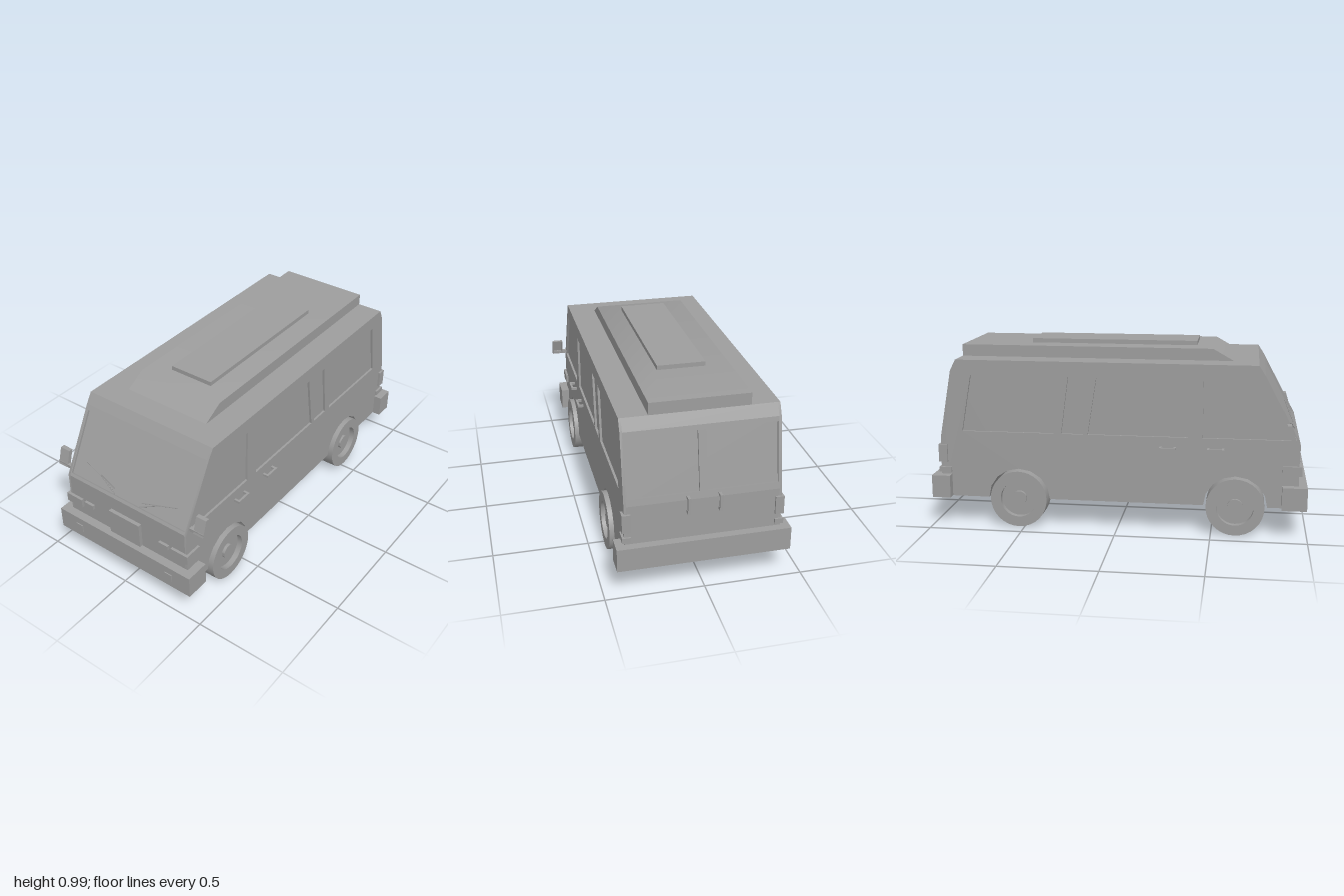
import * as THREE from 'three';
import { toCreasedNormals } from 'three/addons/utils/BufferGeometryUtils.js';

const mat = new THREE.MeshStandardMaterial({ color: 0x9d9d9d });
const HALF = 0.392, SKIN = 0.012, FLOOR = 0.153;
const AXLES = [-0.625, 0.53];

export function createModel() {
  const van = new THREE.Group();
  van.name = 'van';

  const add = (name, geo, parent = van) => {
    const m = new THREE.Mesh(geo, mat);
    m.name = name;
    parent.add(m);
    return m;
  };
  // Box given by its limits on each axis
  const box = (name, x0, x1, y0, y1, z0, z1, parent) => {
    const m = add(name, new THREE.BoxGeometry(x1 - x0, y1 - y0, z1 - z0), parent);
    m.position.set((x0 + x1) / 2, (y0 + y1) / 2, (z0 + z1) / 2);
    return m;
  };
  // The same box on both sides of the van
  const pair = (name, x0, x1, y0, y1, z0, z1) => {
    box(name + 'Left', x0, x1, y0, y1, z0, z1);
    box(name + 'Right', x0, x1, y0, y1, -z1, -z0);
  };
  const path = (pts, Type = THREE.Shape) => new Type(pts.map(p => new THREE.Vector2(...p)));
  // Extrusion with smooth normals over gentle bends
  const extrude = (shape, depth) =>
    toCreasedNormals(new THREE.ExtrudeGeometry(shape, { depth, bevelEnabled: false }), 0.6);

  // Floor line with a polygonal arch over each axle
  const floorLine = [];
  for (const cx of AXLES) {
    for (let i = 0; i <= 8; i++) {
      const a = Math.PI * (1 - i / 8);
      floorLine.push([cx + 0.167 * Math.cos(a), FLOOR + 0.163 * Math.sin(a)]);
    }
  }
  // Side outline, nose towards -x; the sloped ends can be set in to hold the glass
  const noseLow = [-0.95, 0.5], noseTop = [-0.765, 0.845];
  const tailLow = [0.955, 0.48], tailTop = [0.89, 0.84];
  const inset = (a, b, side) => {
    const dx = b[0] - a[0], dy = b[1] - a[1], l = Math.hypot(dx, dy);
    const off = p => [p[0] - side * SKIN * dy / l, p[1] + side * SKIN * dx / l];
    return [off(a), off(b)];
  };
  const outline = recessed => {
    const nose = recessed ? inset(noseLow, noseTop, -1) : [];
    const tail = recessed ? inset(tailLow, tailTop, 1) : [];
    return path([[-0.95, FLOOR], ...floorLine, [0.96, FLOOR], tailLow, ...tail, tailTop,
      [0.86, 0.9], [-0.73, 0.9], noseTop, ...nose.reverse(), noseLow]);
  };

  // Body core
  add('bodyCore', extrude(outline(true), 2 * (HALF - SKIN))).position.z = -(HALF - SKIN);

  // Side panels with window openings
  const sideWindows = [
    [[-0.905, 0.515], [-0.45, 0.515], [-0.45, 0.82], [-0.75, 0.82]],
    [[-0.375, 0.515], [0.155, 0.515], [0.107, 0.82], [-0.375, 0.82]],
    [[0.18, 0.515], [0.297, 0.515], [0.257, 0.82], [0.134, 0.82]],
    [[0.337, 0.515], [0.835, 0.515], [0.78, 0.82], [0.298, 0.82]],
  ];
  const side = outline(false);
  side.holes = sideWindows.map(w => path(w, THREE.Path));
  const sideGeo = extrude(side, SKIN);
  add('sidePanelLeft', sideGeo).position.z = HALF - SKIN;
  add('sidePanelRight', sideGeo).position.z = -HALF;

  // Sloped end panels with window openings; openings are [z0, z1] between y0 and y1
  const slopedPanel = (name, a, b, zDir, openings, y0, y1) => {
    const up = new THREE.Vector3(b[0] - a[0], b[1] - a[1], 0);
    const len = up.length();
    up.normalize();
    const across = new THREE.Vector3(0, 0, zDir);
    const out = new THREE.Vector3().crossVectors(across, up);
    const s = y => (y - a[1]) / (b[1] - a[1]) * len;
    const w = HALF - SKIN;
    const shape = path([[-w, 0], [w, 0], [w, len], [-w, len]]);
    shape.holes = openings.map(([l, r]) =>
      path([[l, s(y0)], [r, s(y0)], [r, s(y1)], [l, s(y1)]], THREE.Path));
    const m = add(name, extrude(shape, SKIN));
    m.quaternion.setFromRotationMatrix(new THREE.Matrix4().makeBasis(across, up, out));
    m.position.set(a[0], a[1], 0).addScaledVector(out, -SKIN);
  };
  slopedPanel('windscreenFrame', noseLow, noseTop, 1, [[-0.374, 0.374]], 0.515, 0.82);
  slopedPanel('rearWindowFrame', tailLow, tailTop, -1, [[-0.374, -0.02], [0.02, 0.374]], 0.515, 0.815);

  // Raised roof with sloped front, and its top panel
  const roof = path([[-0.6, 0.895], [0.86, 0.895], [0.86, 0.962], [-0.49, 0.962], [-0.6, 0.9]]);
  add('raisedRoof', extrude(roof, 0.5)).position.z = -0.25;
  box('roofPanel', -0.4, 0.5, 0.955, 0.985, -0.125, 0.125);

  // Bumpers
  box('frontBumper', -0.995, -0.865, FLOOR, 0.275, -0.437, 0.437);
  box('rearBumper', 0.9, 1, FLOOR, 0.275, -0.437, 0.437);
  pair('bumperLamp', -1, -0.98, 0.19, 0.235, 0.28, 0.325);

  // Lamps and front plate
  pair('headlamp', -0.965, -0.865, 0.33, 0.38, 0.3, 0.405);
  pair('grilleLamp', -0.965, -0.94, 0.355, 0.38, 0.22, 0.28);
  box('frontPlate', -0.97, -0.94, 0.28, 0.42, -0.1, 0.1);
  pair('tailLamp', 0.92, 0.967, 0.343, 0.44, 0.36, 0.404);
  pair('lowerTailLamp', 0.9, 0.967, 0.288, 0.315, 0.36, 0.404);

  // Side door handles: a grip on two posts
  for (const [x0, x1] of [[-0.565, -0.475], [-0.312, -0.225]]) {
    pair('doorHandleGrip', x0, x1, 0.45, 0.463, 0.413, 0.425);
    pair('doorHandleFrontPost', x0, x0 + 0.013, 0.45, 0.463, 0.385, 0.414);
    pair('doorHandleRearPost', x1 - 0.013, x1, 0.45, 0.463, 0.385, 0.414);
  }
  // Rear door handles
  pair('rearHandleGrip', 0.972, 0.984, 0.412, 0.5, 0.072, 0.086);
  pair('rearHandleLowerPost', 0.945, 0.973, 0.412, 0.425, 0.072, 0.086);
  pair('rearHandleUpperPost', 0.94, 0.973, 0.487, 0.5, 0.072, 0.086);

  // Door mirrors: a leaning frame with sunken glass, on a short arm
  const rect = (z0, z1, y0, y1, Type) => path([[z0, y0], [z1, y0], [z1, y1], [z0, y1]], Type);
  const frame = rect(-0.03, 0.03, 0.52, 0.61);
  frame.holes = [rect(-0.024, 0.024, 0.527, 0.603, THREE.Path)];
  const glass = rect(-0.028, 0.028, 0.522, 0.608);
  // Turns the extrusion to face the rear and leans it with the windscreen
  const lean = geo => {
    const p = geo.attributes.position;
    for (let i = 0; i < p.count; i++) {
      const z = p.getX(i), y = p.getY(i), d = p.getZ(i);
      p.setXYZ(i, -0.928 + d + (y - 0.52) * 0.3, y, -z);
    }
    geo.computeVertexNormals();
    return geo;
  };
  for (const s of [1, -1]) {
    const mirror = new THREE.Group();
    mirror.name = s > 0 ? 'mirrorLeft' : 'mirrorRight';
    add('mirrorFrame', lean(extrude(frame, 0.022)), mirror);
    add('mirrorGlass', lean(extrude(glass, 0.008)), mirror);
    box('mirrorArm', -0.925, -0.905, 0.52, 0.538, -0.05 - s * 0.02, 0.05 - s * 0.02, mirror);
    mirror.position.z = s * 0.448;
    van.add(mirror);
  }

  // Wipers lying on the foot of the windscreen glass
  const rod = (name, a, b) =>
    add(name, new THREE.TubeGeometry(new THREE.LineCurve3(a, b), 1, 0.003, 4));
  for (const s of [1, -1]) {
    const at = (y, z) => new THREE.Vector3(-0.94 + (y - 0.5) * 0.536, y, s * z);
    rod('wiperArm', at(0.512, 0.08), at(0.565, 0.2));
    rod('wiperBlade', at(0.535, 0.09), at(0.59, 0.3));
  }

  // Wheels: tyre with a sunken rim and a raised hub, turned about z
  const profile = [[0, 0.303], [0.153, 0.303], [0.153, 0.415], [0.098, 0.415],
    [0.098, 0.385], [0.04, 0.385], [0.04, 0.402], [0, 0.402]];
  const wheelGeo = toCreasedNormals(
    new THREE.LatheGeometry(profile.map(p => new THREE.Vector2(...p)), 32), 0.6);
  for (const x of AXLES) {
    for (const s of [1, -1]) {
      const wheel = add((x < 0 ? 'front' : 'rear') + 'Wheel' + (s > 0 ? 'Left' : 'Right'), wheelGeo);
      wheel.rotation.x = s * Math.PI / 2;
      wheel.position.set(x, 0.153, 0);
    }
  }
  return van;
}
